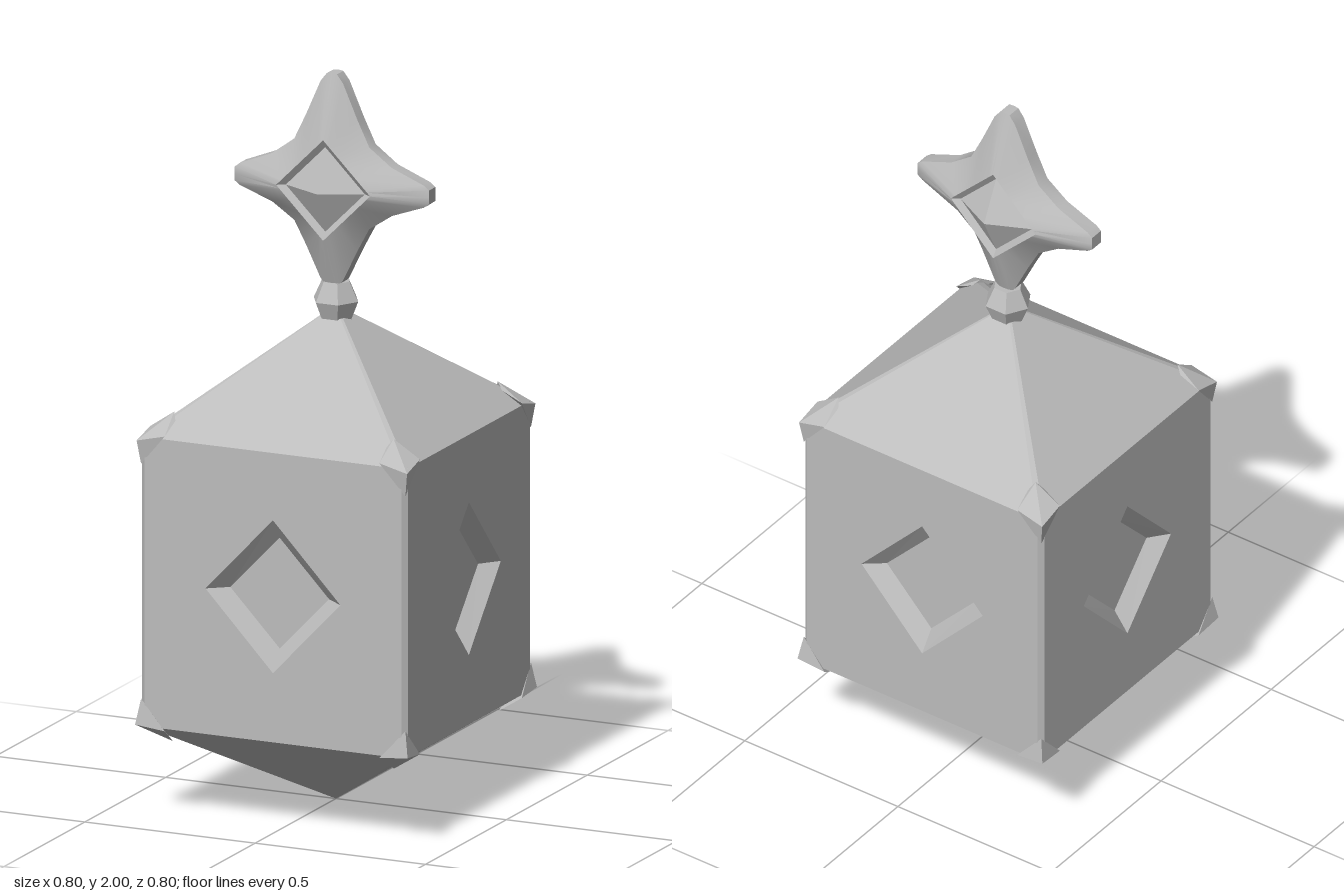
import * as THREE from 'three';
import { toCreasedNormals } from 'three/addons/utils/BufferGeometryUtils.js';
import { ConvexGeometry } from 'three/addons/geometries/ConvexGeometry.js';

// Skin a surface over rings that run counter-clockwise about the direction of travel
function loft(rings) {
  const pos = [];
  const tri = (a, b, c) => {
    if (!a.equals(b) && !b.equals(c) && !c.equals(a)) pos.push(...a, ...b, ...c);
  };
  for (let i = 0; i < rings.length - 1; i++) {
    const lo = rings[i], hi = rings[i + 1], n = lo.length;
    for (let j = 0; j < n; j++) {
      const k = (j + 1) % n;
      tri(lo[j], lo[k], hi[k]);
      tri(lo[j], hi[k], hi[j]);
    }
  }
  const g = new THREE.BufferGeometry();
  g.setAttribute('position', new THREE.Float32BufferAttribute(pos, 3));
  g.computeVertexNormals();
  return g;
}

const V = (x, y, z) => new THREE.Vector3(x, y, z);

export function createModel() {
  const model = new THREE.Group();
  model.name = 'spinningTop';
  const grey = new THREE.MeshStandardMaterial({ color: 0xbcbcbc });
  grey.name = 'stoneGrey';
  const add = (name, geometry, parent = model) => {
    const mesh = new THREE.Mesh(geometry, grey);
    mesh.name = name;
    parent.add(mesh);
    return mesh;
  };

  const half = 0.39, cut = 0.013, yLow = 0.25, yHigh = 1.045, yMid = 0.65;

  // Square with chamfered corners at height y
  const square = (h, c, y) => {
    const ring = [];
    for (let i = 0; i < 4; i++) {
      for (const s of [-1, 1]) {
        const t = s * (h - c), a = i * Math.PI / 2;
        ring.push(V(h * Math.cos(a) - t * Math.sin(a), y, -h * Math.sin(a) - t * Math.cos(a)));
      }
    }
    return ring;
  };

  // Pointed base and sloping roof
  add('pointedBase', loft([square(0, 0, 0), square(half, cut, yLow)]));
  add('roof', loft([square(half, cut, yHigh), square(0.035, 0.005, 1.33), square(0, 0, 1.33)]));

  // Four walls, each with a sunken diamond, and the chamfers between them
  const w = half - cut;
  const diamond = (rx, ry, z) => [V(rx, yMid, z), V(0, yMid + ry, z), V(-rx, yMid, z), V(0, yMid - ry, z)];
  const wall = new THREE.Shape([[-w, yLow], [w, yLow], [w, yHigh], [-w, yHigh]].map(p => new THREE.Vector2(...p)));
  const outer = diamond(0.198, 0.21, half);
  wall.holes.push(new THREE.Path(outer.map(p => new THREE.Vector2(p.x, p.y)).reverse()));
  const panel = new THREE.ShapeGeometry(wall).translate(0, 0, half);
  const recess = loft([outer, diamond(0.145, 0.152, half - 0.042), diamond(0, 0, half - 0.042)]);
  const chamfer = new THREE.PlaneGeometry(cut * Math.SQRT2, yHigh - yLow)
    .rotateY(Math.PI / 4)
    .translate(half - cut / 2, (yLow + yHigh) / 2, half - cut / 2);
  for (let i = 0; i < 4; i++) {
    const side = new THREE.Group();
    side.name = 'side' + (i + 1);
    side.rotation.y = i * Math.PI / 2;
    add('wall', panel, side);
    add('diamondRecess', recess, side);
    add('edgeChamfer', chamfer, side);
    model.add(side);
  }

  // Faceted guards on the eight corners
  const upperGuard = new ConvexGeometry([
    V(0.322, 1.105, 0.322), V(0.396, 1.055, 0.315), V(0.315, 1.055, 0.396),
    V(0.397, 1.035, 0.397), V(0.388, 0.97, 0.388), V(0.31, 1.085, 0.34), V(0.34, 1.085, 0.31),
  ]);
  const lowerGuard = new ConvexGeometry([
    V(0.325, 0.2, 0.325), V(0.396, 0.245, 0.315), V(0.315, 0.245, 0.396),
    V(0.4, 0.255, 0.4), V(0.388, 0.325, 0.388),
  ]);
  for (let i = 0; i < 4; i++) {
    add('upperCornerGuard', upperGuard).rotation.y = i * Math.PI / 2;
    add('lowerCornerGuard', lowerGuard).rotation.y = i * Math.PI / 2;
  }

  // Six-sided collar
  const hexagon = (r, y) => Array.from({ length: 6 }, (_, i) =>
    V(r * Math.cos(i * Math.PI / 3), y, -r * Math.sin(i * Math.PI / 3)));
  add('collar', loft([hexagon(0, 1.32), hexagon(0.044, 1.32), hexagon(0.065, 1.372),
    hexagon(0.04, 1.425), hexagon(0, 1.425)]));

  // Four-pointed star handle: one quadrant mirrored into a full outline
  const quarter = [[0.285, 0.02], [0.27, 0.032], [0.175, 0.07], [0.11, 0.118], [0.075, 0.19], [0.033, 0.285], [0.015, 0.308]];
  const flip = (sx, sy) => quarter.map(([x, y]) => [x * sx, y * sy * (sy < 0 ? 0.9 : 1)]);
  const outline = [
    ...flip(1, 1), [0, 0.31], ...flip(-1, 1).reverse(), [-0.285, 0],
    ...flip(-1, -1), [0, -0.28], ...flip(1, -1).reverse(), [0.285, 0],
  ];
  const rim = z => outline.map(([x, y]) => V(x, y, z));
  const ring = (r, z) => outline.map(([x, y]) => {
    const s = r / (Math.abs(x) + Math.abs(y));
    return V(x * s, y * s, z);
  });
  // Each face: rim, raised diamond border, groove, central pyramid
  const face = s => [rim(0.02 * s), ring(0.138, 0.074 * s), ring(0.116, 0.06 * s), ring(0, 0.115 * s)];
  const star = loft([...face(-1).reverse(), ...face(1)]);
  add('starHandle', toCreasedNormals(star, 0.5)).position.set(0, 1.69, 0.006);

  return model;
}
